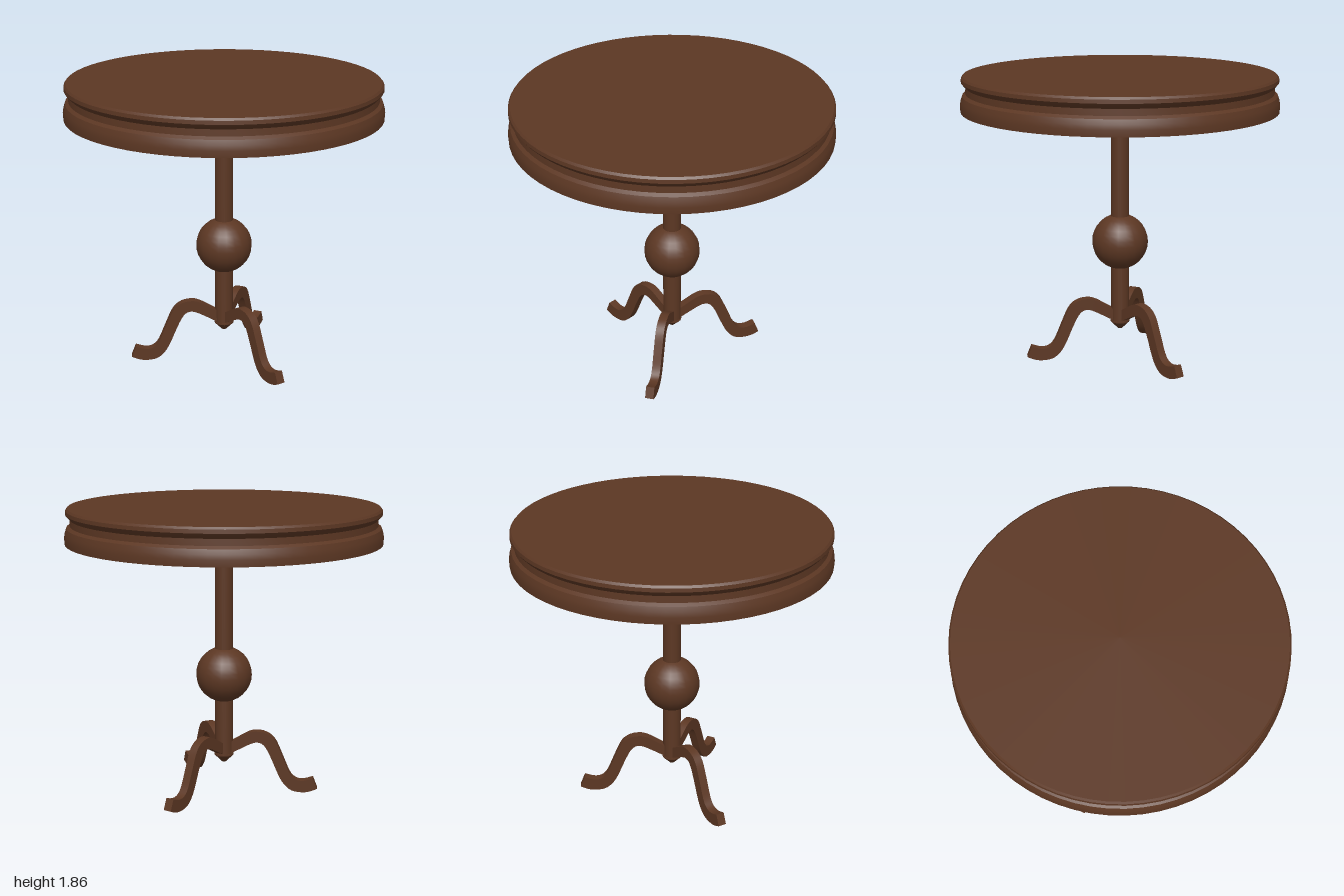
import * as THREE from 'three';
import { toCreasedNormals } from 'three/addons/utils/BufferGeometryUtils.js';

const v = (pts) => pts.map(([x, y]) => new THREE.Vector2(x, y));

export function createModel() {
  const table = new THREE.Group();
  table.name = 'pedestalTable';
  const wood = new THREE.MeshStandardMaterial({ color: 0x5c3723 });
  wood.name = 'dark wood';

  const add = (name, geometry) => {
    const mesh = new THREE.Mesh(geometry, wood);
    mesh.name = name;
    table.add(mesh);
    return mesh;
  };
  const lathe = (points, sides, crease) =>
    toCreasedNormals(new THREE.LatheGeometry(v(points), sides), crease);

  // Round top: recessed underside, swelling apron, cove and lip
  add('tableTop', lathe([
    [0, 1.79], [0.94, 1.79], [0.94, 1.64], [0.998, 1.64], [1, 1.68], [0.995, 1.71],
    [0.985, 1.74], [0.965, 1.755], [0.963, 1.795], [0.978, 1.81], [0.991, 1.827],
    [0.989, 1.85], [0.978, 1.863], [0, 1.863],
  ], 64, 0.6));

  // Column with a pointed foot
  add('column', lathe([
    [0, 0.193], [0.015, 0.193], [0.062, 0.24], [0.062, 0.25], [0.058, 0.25], [0.058, 1.79],
  ], 24, 0.6));

  // Turned ball on the column
  const ball = add('ball', new THREE.SphereGeometry(0.18, 20, 16));
  ball.position.y = 0.78;

  // S-curved leg: upper edge outward, foot end, lower edge back inward
  const outline = new THREE.Shape();
  outline.moveTo(0.05, 0.33);
  outline.splineThru(v([
    [0.11, 0.365], [0.165, 0.395], [0.215, 0.405], [0.28, 0.392], [0.335, 0.345],
    [0.385, 0.235], [0.43, 0.13], [0.47, 0.088], [0.52, 0.08], [0.582, 0.098],
  ]));
  outline.lineTo(0.61, 0.027);
  outline.splineThru(v([
    [0.56, 0.007], [0.51, 0.001], [0.45, 0.01], [0.405, 0.042], [0.365, 0.1],
    [0.315, 0.215], [0.28, 0.287], [0.25, 0.322], [0.215, 0.331], [0.17, 0.318], [0.05, 0.255],
  ]));
  outline.closePath();
  const width = 0.055;
  const extruded = new THREE.ExtrudeGeometry(outline, { depth: width, bevelEnabled: false, curveSegments: 3 });
  extruded.translate(0, 0, -width / 2);
  const legGeometry = toCreasedNormals(extruded, 0.6);

  // Three legs, one pointing to -x
  for (let i = 0; i < 3; i++) {
    add('leg' + (i + 1), legGeometry).rotation.y = Math.PI + (i * Math.PI * 2) / 3;
  }
  return table;
}
